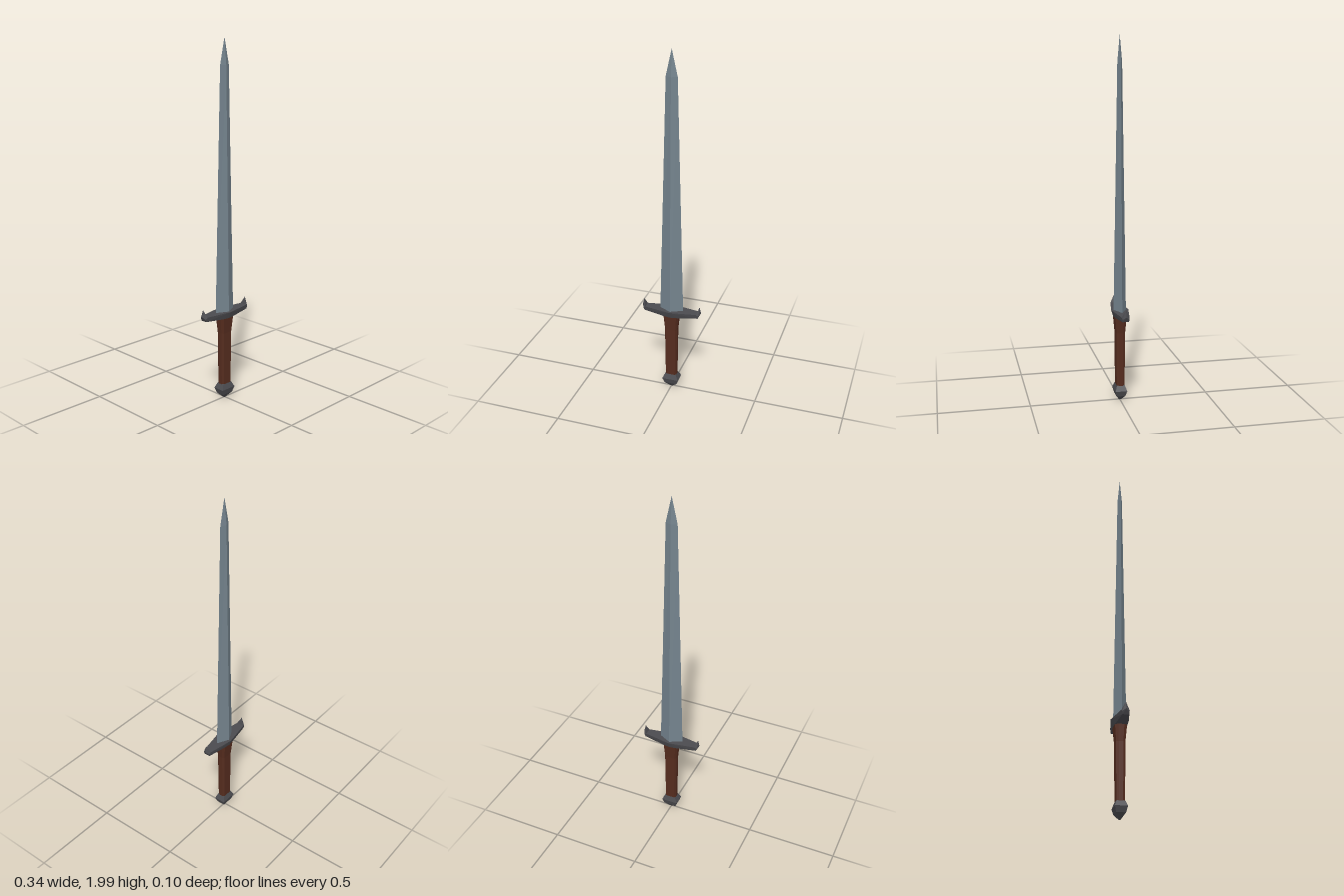
import * as THREE from 'three';
import { ConvexGeometry } from 'three/addons/geometries/ConvexGeometry.js';

// Skins a stack of rings; each section is [y, halfWidth, halfDepth], ring is a unit outline in x,z
function loft(ring, sections) {
  const n = ring.length, pos = [], idx = [];
  for (const [y, w, d] of sections) for (const [x, z] of ring) pos.push(x * w, y, z * d);
  for (let i = 0; i < sections.length - 1; i++) {
    for (let j = 0; j < n; j++) {
      const k = (j + 1) % n, a = i * n + j, b = i * n + k;
      idx.push(a, b, b + n, a, b + n, a + n);
    }
  }
  const top = (sections.length - 1) * n;
  for (let j = 1; j < n - 1; j++) {
    idx.push(0, j + 1, j);
    idx.push(top, top + j, top + j + 1);
  }
  const g = new THREE.BufferGeometry();
  g.setAttribute('position', new THREE.Float32BufferAttribute(pos, 3));
  g.setIndex(idx);
  const flat = g.toNonIndexed();
  flat.computeVertexNormals();
  return flat;
}

// Convex solid from [x, y, z] points, each mirrored in z
function hull(points) {
  const v = [];
  for (const [x, y, z] of points) {
    v.push(new THREE.Vector3(x, y, z));
    if (z) v.push(new THREE.Vector3(x, y, -z));
  }
  return new ConvexGeometry(v);
}

export function createModel() {
  const steel = new THREE.MeshStandardMaterial({ color: 0x74838d });
  const iron = new THREE.MeshStandardMaterial({ color: 0x4b4b4f });
  const leather = new THREE.MeshStandardMaterial({ color: 0x552c1e });
  steel.name = 'blade steel';
  iron.name = 'dark iron';
  leather.name = 'brown leather';
  for (const m of [steel, iron, leather]) m.flatShading = true;

  const model = new THREE.Group();
  model.name = 'sword';
  const add = (name, geometry, material) => {
    const mesh = new THREE.Mesh(geometry, material);
    mesh.name = name;
    model.add(mesh);
  };

  const diamond = [[0, 1], [1, 0], [0, -1], [-1, 0]];
  const square = [[-1, 1], [1, 1], [1, -1], [-1, -1]];
  const octagon = [[-0.8, 1], [0.8, 1], [1, 0.5], [1, -0.5], [0.8, -1], [-0.8, -1], [-1, -0.5], [-1, 0.5]];

  // Tapered diamond blade with a short point
  add('blade', loft(diamond, [[0.5, 0.068, 0.035], [1.86, 0.032, 0.013], [2, 0.0005, 0.0005]]), steel);

  // Grip flaring towards the guard
  add('grip', loft(octagon, [[0.09, 0.032, 0.022], [0.4, 0.036, 0.024], [0.495, 0.045, 0.032]]), leather);

  // Pommel
  add('pommel', loft(square, [
    [0.008, 0.006, 0.004], [0.037, 0.036, 0.025], [0.068, 0.047, 0.033], [0.098, 0.031, 0.022],
  ]), iron);

  // Crossguard, wide in the middle and narrow at the ends
  const bar = [[0, 0.525, 0.048], [0, 0.488, 0.036]];
  for (const s of [-1, 1]) {
    bar.push([s * 0.15, 0.525, 0.022], [s * 0.157, 0.5, 0.017], [s * 0.04, 0.489, 0.031]);
  }
  add('crossguard', hull(bar), iron);

  // Upturned horns at the guard ends
  for (const s of [-1, 1]) {
    add(s > 0 ? 'leftHorn' : 'rightHorn', hull([
      [s * 0.15, 0.524, 0.022], [s * 0.157, 0.5, 0.017], [s * 0.162, 0.515, 0.019],
      [s * 0.172, 0.528, 0], [s * 0.163, 0.566, 0],
    ]), iron);
  }
  return model;
}
